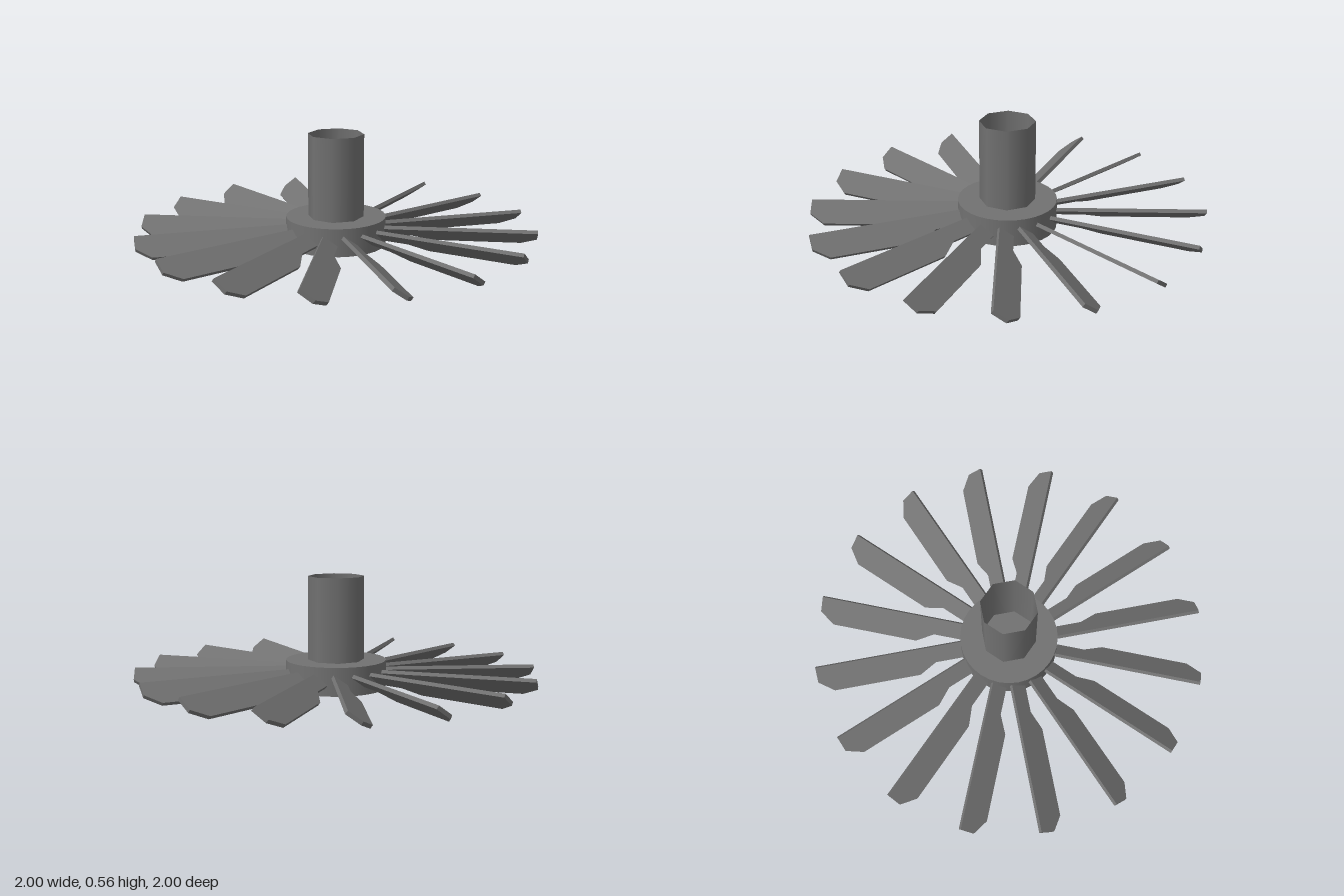
import * as THREE from 'three';

const BLADES = 16;
const PITCH = THREE.MathUtils.degToRad(36);
const THICKNESS = 0.019;

// Paddle outline: x runs out from the hub, y across the blade
function bladeGeometry() {
  const outline = new THREE.Shape([
    [0.2, 0.045], [0.2, -0.04], [0.39, -0.04], [0.48, -0.0925],
    [0.925, -0.0925], [1, -0.035], [1, 0.045],
  ].map(([x, y]) => new THREE.Vector2(x, y)));
  const geometry = new THREE.ExtrudeGeometry(outline, { depth: THICKNESS, bevelEnabled: false });
  geometry.translate(0, 0, -THICKNESS / 2);
  geometry.rotateX(Math.PI / 2 - PITCH); // straight edge high, wide edge low
  geometry.translate(0, 0.07, 0);
  return geometry;
}

export function createModel() {
  const group = new THREE.Group();
  group.name = 'fanWheel';
  const material = new THREE.MeshStandardMaterial({ color: 0x717171 });
  const openMaterial = new THREE.MeshStandardMaterial({ color: 0x717171, side: THREE.DoubleSide });

  // Solid hub disc
  const hub = new THREE.Mesh(new THREE.CylinderGeometry(0.25, 0.25, 0.14, 32), material);
  hub.name = 'hub';
  hub.position.y = 0.07;
  group.add(hub);

  // Hollow eight-sided shaft sleeve, open at the top
  const sleeve = new THREE.Mesh(new THREE.CylinderGeometry(0.14, 0.14, 0.418, 8, 1, true), openMaterial);
  sleeve.name = 'shaftSleeve';
  sleeve.position.y = 0.349;
  group.add(sleeve);

  // Ring of pitched blades
  const blades = new THREE.Group();
  blades.name = 'blades';
  const geometry = bladeGeometry();
  for (let i = 0; i < BLADES; i++) {
    const blade = new THREE.Mesh(geometry, material);
    blade.name = `blade${i + 1}`;
    blade.rotation.y = (i / BLADES) * Math.PI * 2;
    blades.add(blade);
  }
  group.add(blades);
  return group;
}
